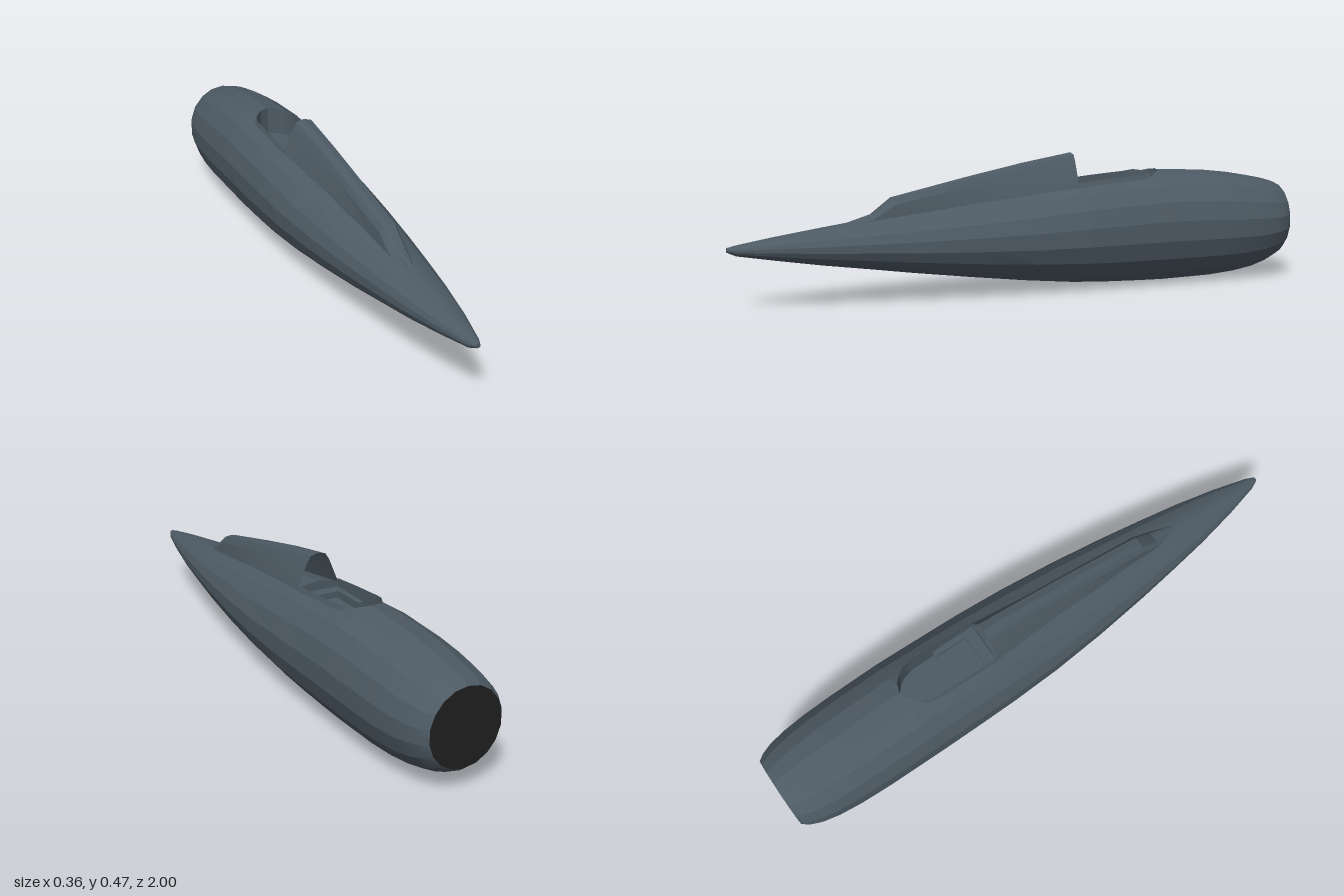
import * as THREE from 'three';
import { toCreasedNormals } from 'three/addons/utils/BufferGeometryUtils.js';

const SIDES = 18;

// Hull stations from nose to tail: z, half width, bottom y, top y
const STATIONS = [
  [1, 0.008, 0.192, 0.206], [0.97, 0.022, 0.178, 0.213], [0.85, 0.053, 0.157, 0.232],
  [0.7, 0.084, 0.132, 0.253], [0.55, 0.108, 0.11, 0.273], [0.4, 0.13, 0.087, 0.293],
  [0.2, 0.154, 0.059, 0.32], [0, 0.171, 0.033, 0.347], [-0.18, 0.179, 0.014, 0.374],
  [-0.35, 0.182, 0.004, 0.39], [-0.51, 0.183, 0, 0.4], [-0.7, 0.181, 0.003, 0.39],
  [-0.8, 0.177, 0.011, 0.378], [-0.88, 0.169, 0.024, 0.364], [-0.94, 0.157, 0.042, 0.352],
  [-0.98, 0.141, 0.06, 0.341], [-1, 0.125, 0.076, 0.334],
];

// Cockpit opening: z, half width
const OPENING = [
  [-0.18, 0.075], [-0.3, 0.075], [-0.42, 0.075], [-0.455, 0.067],
  [-0.48, 0.053], [-0.5, 0.031], [-0.51, 0],
];

function hullAt(z) {
  let i = 0;
  while (i < STATIONS.length - 2 && STATIONS[i + 1][0] > z) i++;
  const a = STATIONS[i], b = STATIONS[i + 1];
  const t = (z - a[0]) / (b[0] - a[0]);
  const [rx, lo, hi] = [1, 2, 3].map((k) => a[k] + (b[k] - a[k]) * t);
  return { rx, cy: (lo + hi) / 2, ry: (hi - lo) / 2 };
}

// Hull ring starting and ending at the top, left open by a half width
function hullRing(z, gap = 0) {
  const { rx, cy, ry } = hullAt(z);
  const limit = Math.PI - Math.asin(gap / rx);
  return Array.from({ length: SIDES + 1 }, (_, j) => {
    const a = THREE.MathUtils.clamp((j / SIDES * 2 - 1) * Math.PI, -limit, limit);
    return [rx * Math.sin(a), cy - ry * Math.cos(a), z];
  });
}

function rimY(z, x) {
  const { rx, cy, ry } = hullAt(z);
  return cy + ry * Math.sqrt(1 - (x / rx) ** 2);
}

// Skin between successive rows of points
function loft(rows, crease = 0.3) {
  const n = rows[0].length, index = [];
  for (let i = 0; i < rows.length - 1; i++) {
    for (let j = 0; j < n - 1; j++) {
      const a = i * n + j, b = a + n;
      index.push(a, b, a + 1, a + 1, b, b + 1);
    }
  }
  const geo = new THREE.BufferGeometry();
  geo.setAttribute('position', new THREE.Float32BufferAttribute(rows.flat(2), 3));
  geo.setIndex(index);
  return toCreasedNormals(geo, crease);
}

export function createModel() {
  const group = new THREE.Group();
  const hullPaint = new THREE.MeshStandardMaterial({ color: 0x4d5a64, side: THREE.DoubleSide });
  hullPaint.name = 'slate hull';
  const tailBlack = new THREE.MeshStandardMaterial({ color: 0x1f1f1f, side: THREE.DoubleSide });
  tailBlack.name = 'tail black';
  const add = (name, geo, mat = hullPaint) => {
    const mesh = new THREE.Mesh(geo, mat);
    mesh.name = name;
    group.add(mesh);
    return mesh;
  };
  const disc = () => new THREE.CircleGeometry(1, SIDES, Math.PI / 2);

  // Fuselage: closed nose section, open cockpit section, closed tail section
  const zs = STATIONS.map((s) => s[0]);
  add('noseHull', loft(zs.filter((z) => z >= -0.18).map((z) => hullRing(z))));
  add('cockpitHull', loft(OPENING.map(([z, w]) => hullRing(z, w))));
  add('tailHull', loft(zs.filter((z) => z <= -0.51).map((z) => hullRing(z))));

  // Nose tip and dark tail bulkhead
  for (const [name, z, mat] of [['noseTip', 1, hullPaint], ['tailBulkhead', -1, tailBlack]]) {
    const { rx, cy, ry } = hullAt(z);
    const cap = add(name, disc(), mat);
    cap.scale.set(rx, ry, 1);
    cap.position.set(0, cy, z);
    if (z < 0) cap.rotation.y = Math.PI;
  }

  // Cockpit tub with floor, front wall, side ledges and a raised rim
  const floorY = 0.3;
  add('cockpitTub', loft(OPENING.map(([z, w]) => [
    [w, rimY(z, w), z], [w, floorY, z], [-w, floorY, z], [-w, rimY(z, w), z],
  ])));
  const wall = new THREE.Shape();
  [[-0.075, floorY], [0.075, floorY], [0.075, 0.358], [0.061, 0.363], [0, 0.374], [-0.061, 0.363], [-0.075, 0.358]]
    .forEach(([x, y], i) => (i ? wall.lineTo(x, y) : wall.moveTo(x, y)));
  add('cockpitFrontWall', new THREE.ShapeGeometry(wall)).position.z = -0.18;
  add('frontLedge', new THREE.BoxGeometry(0.15, 0.01, 0.04)).position.set(0, 0.335, -0.2);
  for (const s of [-1, 1]) {
    add('sideLedge', new THREE.BoxGeometry(0.02, 0.01, 0.16)).position.set(s * 0.065, 0.335, -0.26);
    add('cockpitRim', loft(OPENING.map(([z, w], i) => {
      const lift = i < 4 ? 0.012 : 0.002, y = rimY(z, w);
      return [[s * w, y, z], [s * w, y + lift, z], [s * (w + 0.006), rimY(z, w + 0.006) - 0.001, z]];
    })));
  }

  // Hollow windscreen fairing: z, then half profile from ridge to base
  const hood = [
    [0.62, [0, 0.265], [0.006, 0.263], [0.01, 0.255], [0.012, 0.25]],
    [0.53, [0, 0.29], [0.02, 0.287], [0.032, 0.275], [0.035, 0.255]],
    [0.46, [0, 0.343], [0.02, 0.34], [0.033, 0.32], [0.037, 0.27]],
    [0.2, [0, 0.4], [0.024, 0.395], [0.036, 0.373], [0.058, 0.28]],
    [0, [0, 0.44], [0.026, 0.434], [0.039, 0.411], [0.07, 0.315]],
    [-0.18, [0, 0.47], [0.028, 0.463], [0.042, 0.44], [0.079, 0.352]],
  ];
  add('windscreenFairing', loft(hood.map(([z, ...half]) => [
    ...half.slice(1).reverse().map(([x, y]) => [x, y, z]),
    ...half.map(([x, y]) => [-x, y, z]),
  ].map((p) => p.map((v) => v || 0)))));

  return group;
}
